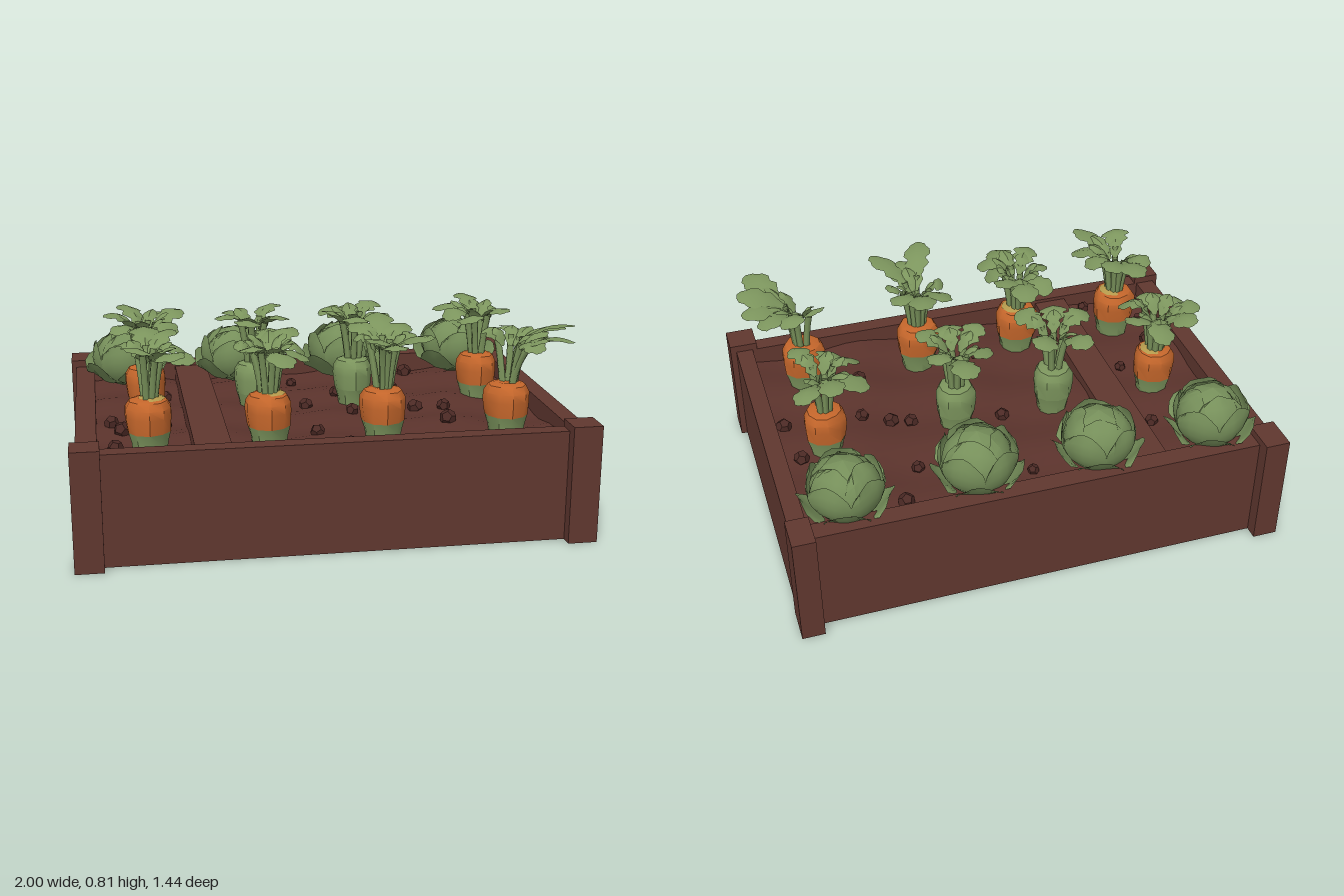
import * as THREE from 'three';
import { toCreasedNormals } from 'three/addons/utils/BufferGeometryUtils.js';

const paint = (name, color, extra = {}) => Object.assign(new THREE.MeshStandardMaterial({ color, ...extra }), { name });

export function createModel() {
  const model = new THREE.Group();
  model.name = 'vegetableBed';
  const wood = paint('wood brown', 0x60372f);
  const soilMat = paint('soil brown', 0x5b332c);
  const clodMat = paint('clod brown', 0x4c2a25);
  const orange = paint('carrot orange', 0xc4662b);
  const yellow = paint('crown yellow', 0xb49a4c);
  const green = paint('leaf green', 0x7c955d, { side: THREE.DoubleSide });
  const cabbageGreen = paint('cabbage green', 0x768f5a, { side: THREE.DoubleSide });

  let seed = 7;
  const rnd = () => (seed = (seed * 16807) % 2147483647) / 2147483647;

  const add = (parent, name, geo, mat) => {
    const mesh = new THREE.Mesh(geo, mat);
    mesh.name = name;
    parent.add(mesh);
    return mesh;
  };
  // Box given by its limits on each axis
  const board = (name, x0, x1, y0, y1, z0, z1) =>
    add(model, name, new THREE.BoxGeometry(x1 - x0, y1 - y0, z1 - z0), wood)
      .position.set((x0 + x1) / 2, (y0 + y1) / 2, (z0 + z1) / 2);
  // Surface from rows of points
  const loft = (rows) => {
    const n = rows[0].length, index = [];
    for (let i = 0; i < rows.length - 1; i++)
      for (let j = 0; j < n - 1; j++) {
        const a = i * n + j;
        index.push(a, a + 1, a + n, a + 1, a + n + 1, a + n);
      }
    const geo = new THREE.BufferGeometry().setFromPoints(rows.flat());
    geo.setIndex(index);
    return toCreasedNormals(geo, 0.6);
  };

  // Planter walls, divider and corner posts
  board('frontBoard', -0.95, 0.95, 0, 0.44, 0.6, 0.67);
  board('backBoard', -0.95, 0.95, 0, 0.44, -0.67, -0.59);
  board('leftBoard', 0.9, 0.97, 0, 0.44, -0.62, 0.64);
  board('rightBoard', -0.98, -0.9, 0, 0.44, -0.62, 0.64);
  board('divider', -0.54, -0.4, 0.3, 0.425, -0.6, 0.61);
  board('baseBoard', -0.93, 0.93, 0, 0.05, -0.63, 0.63);
  for (const s of [-1, 1]) {
    const [a, b] = s < 0 ? [-1, -0.89] : [0.88, 0.995];
    board('frontPost', a, b, 0, 0.47, 0.6, 0.72);
    board('backPost', s < 0 ? -1 : 0.89, s < 0 ? -0.9 : 0.98, 0, 0.47, -0.725, -0.58);
  }

  // Uneven soil
  const soilY = (x, z) => 0.37 + 0.012 * Math.sin(x * 13 + z * 3) + 0.01 * Math.sin(z * 17 - x * 6);
  const soil = new THREE.PlaneGeometry(1.84, 1.24, 30, 20).rotateX(-Math.PI / 2);
  const sp = soil.attributes.position;
  for (let i = 0; i < sp.count; i++) sp.setY(i, soilY(sp.getX(i), sp.getZ(i)));
  soil.computeVertexNormals();
  add(model, 'soil', soil, soilMat);

  // Loose clods
  const clods = [[-0.03, -0.45], [0.12, -0.16], [0.14, 0.13], [0.35, 0], [0.43, 0.02], [0.86, 0.11], [0.83, -0.11],
    [0.5, -0.5], [-0.8, 0.23], [-0.83, 0.4], [-0.85, 0.54], [0.06, 0.54], [0.54, 0.07], [-0.84, 0.16], [-0.62, 0.1],
    [-0.04, 0.35], [0.5, 0.3], [0.6, 0.5], [-0.02, -0.08], [0.4, -0.3], [-0.6, -0.3], [-0.62, 0.56]];
  for (const [x, z] of clods) {
    const clod = add(model, 'clod', new THREE.DodecahedronGeometry(0.024 + rnd() * 0.012), clodMat);
    clod.position.set(x, soilY(x, z) + 0.012, z);
    clod.rotation.set(rnd() * 3, rnd() * 3, 0);
  }

  // Lobed leaf blade with a raised fold, from point a to point b
  const bladeProfile = [[0, 0.012], [0.14, 0.026], [0.3, 0.05], [0.42, 0.036], [0.56, 0.054], [0.72, 0.05], [0.82, 0.036], [0.93, 0.03], [1, 0.01]];
  const blade = (a, b, width) => {
    const dir = b.clone().sub(a);
    const side = new THREE.Vector3(-dir.z, 0, dir.x).normalize();
    const twist = (rnd() - 0.5) * 0.5;
    return loft(bladeProfile.map(([t, w]) => [-1, 0, 1].map((k) => {
      const p = a.clone().addScaledVector(dir, t).addScaledVector(side, k * w * width);
      p.y += 0.022 * Math.sin(t * Math.PI) - Math.abs(k) * w * 0.25 + k * w * twist;
      return p;
    })));
  };

  // Lumpy turned body
  const turned = (profile) => {
    const geo = new THREE.LatheGeometry(profile.map(([r, y]) => new THREE.Vector2(r, y)), 10);
    const p = geo.attributes.position;
    for (let i = 0; i < p.count; i++) {
      const a = Math.atan2(p.getZ(i), p.getX(i)), k = 1 + 0.035 * Math.sin(a * 3 + p.getY(i) * 20);
      p.setX(i, p.getX(i) * k);
      p.setZ(i, p.getZ(i) * k);
    }
    return toCreasedNormals(geo, 0.7);
  };

  const root = (x, z, r, tips, bodyMat, hasYellow) => {
    const plant = new THREE.Group();
    plant.name = 'rootVegetable';
    model.add(plant);
    const place = (m) => m.position.set(x, 0, z);
    place(add(plant, 'rootBase', turned([[0, 0.33], [r * 0.7, 0.34], [r * 0.8, 0.4], [r * 0.93, 0.44]]), green));
    place(add(plant, 'rootBody', turned([[r * 0.93, 0.44], [r, 0.5], [r * 0.98, 0.535], [r * 0.8, 0.562], [r * 0.45, 0.572], [0, 0.565]]), bodyMat));
    if (hasYellow) place(add(plant, 'crownPatch', new THREE.ConeGeometry(r * 0.62, 0.02, 8).translate(0.01, 0.578, 0), yellow));
    for (const [tx, tz] of tips) {
      const dx = tx - x, dz = tz - z, reach = Math.hypot(dx, dz);
      const at = (d, y) => new THREE.Vector3(x + dx / reach * d, y, z + dz / reach * d);
      const knee = at(Math.max(0.06, reach - 0.19), 0.725 + rnd() * 0.03);
      const tip = at(reach, 0.72 + rnd() * 0.07 + (reach > 0.24 ? 0.02 : 0));
      const stem = new THREE.QuadraticBezierCurve3(at(0.025, 0.55), at(0.04, 0.67), knee);
      add(plant, 'stalk', new THREE.TubeGeometry(stem, 4, 0.014, 5), green);
      add(plant, 'leaf', blade(knee, tip, 0.95 + rnd() * 0.2), green);
      // Small inner leaflet near the top of each stalk
      const inner = at(Math.max(0.03, reach - 0.25), 0.71);
      add(plant, 'leaflet', blade(inner, inner.clone().lerp(tip, 0.55).setY(0.775), 0.6), green);
    }
  };

  // Root vegetables: centre, radius, leaf tips, body colour, yellow crown
  const plants = [
    [-0.7, 0.4, 0.092, [[-0.7, 0.13], [-0.6, 0.2], [-0.8, 0.27], [-0.55, 0.35], [-0.53, 0.5], [-0.59, 0.62], [-0.75, 0.55]], orange, true],
    [-0.24, 0.4, 0.092, [[-0.33, 0.22], [-0.2, 0.13], [-0.12, 0.23], [-0.37, 0.38], [-0.1, 0.4], [-0.34, 0.54], [-0.2, 0.63], [-0.11, 0.54]], orange, true],
    [0.21, 0.4, 0.092, [[0.12, 0.2], [0.24, 0.13], [0.33, 0.23], [0.1, 0.36], [0.34, 0.38], [0.13, 0.66], [0.23, 0.6], [0.35, 0.61]], orange, false],
    [0.71, 0.4, 0.092, [[0.65, 0.3], [0.78, 0.25], [0.89, 0.3], [0.95, 0.36], [0.95, 0.47], [0.89, 0.65], [0.8, 0.55]], orange, false],
    [-0.69, -0.08, 0.085, [[-0.77, -0.27], [-0.62, -0.3], [-0.85, -0.14], [-0.53, -0.18], [-0.82, 0.02], [-0.71, 0.08], [-0.57, 0.04]], orange, true],
    [-0.24, -0.08, 0.082, [[-0.34, -0.24], [-0.13, -0.24], [-0.4, -0.02], [-0.29, 0.08], [-0.12, 0.05]], green, false],
    [0.18, -0.08, 0.082, [[0.06, -0.19], [0.18, -0.3], [0.3, -0.21], [0.05, 0], [0.17, 0.08], [0.3, 0.04]], green, false],
    [0.72, -0.08, 0.085, [[0.57, -0.24], [0.7, -0.3], [0.83, -0.25], [0.56, -0.03], [0.64, 0.06], [0.8, 0.07]], orange, false],
  ];
  for (const p of plants) root(...p);

  // Cupped cabbage leaf: rises around the head, with a wavy rim
  const cupLeaf = (angle, spread, top, r, flare) => {
    const rows = [];
    for (let i = 0; i <= 5; i++) {
      const v = i / 5, row = [];
      for (let j = -3; j <= 3; j++) {
        const u = j / 3, a = angle + u * spread * (0.6 + 0.4 * Math.sin(v * 2.4));
        const lat = -0.75 + v * (top + 0.75) - u * u * v * 0.35;
        const rr = r * (1 + flare * v * v + 0.03 * Math.sin(u * 5 + angle * 3) * v);
        row.push(new THREE.Vector3(Math.cos(a) * Math.cos(lat) * rr, Math.sin(lat) * rr * 0.93, Math.sin(a) * Math.cos(lat) * rr));
      }
      rows.push(row);
    }
    return loft(rows);
  };

  // Cabbages along the back
  const cabbages = [[-0.76, -0.49, 1], [-0.28, -0.49, 1], [0.21, -0.48, 1.04], [0.73, -0.49, 1]];
  cabbages.forEach(([x, z, s], n) => {
    const head = new THREE.Group();
    head.name = 'cabbage';
    head.position.set(x, 0.5, z);
    head.rotation.y = n * 1.3;
    head.scale.setScalar(s);
    model.add(head);
    add(head, 'cabbageHeart', toCreasedNormals(new THREE.IcosahedronGeometry(0.125, 1), 0.4), cabbageGreen).scale.y = 1.02;
    for (let i = 0; i < 4; i++) add(head, 'innerLeaf', cupLeaf(i * 1.57, 0.95, 1.2, 0.132 + 0.004 * (i % 2), 0.03), cabbageGreen);
    for (let i = 0; i < 5; i++) add(head, 'middleLeaf', cupLeaf(i * 1.257 + 0.5, 0.65, 0.65, 0.14, 0.13), cabbageGreen);
    for (let i = 0; i < 5; i++) add(head, 'outerLeaf', cupLeaf(i * 1.257, 0.6, 0.05, 0.145, 0.22 + rnd() * 0.06), cabbageGreen);
  });

  return model;
}
